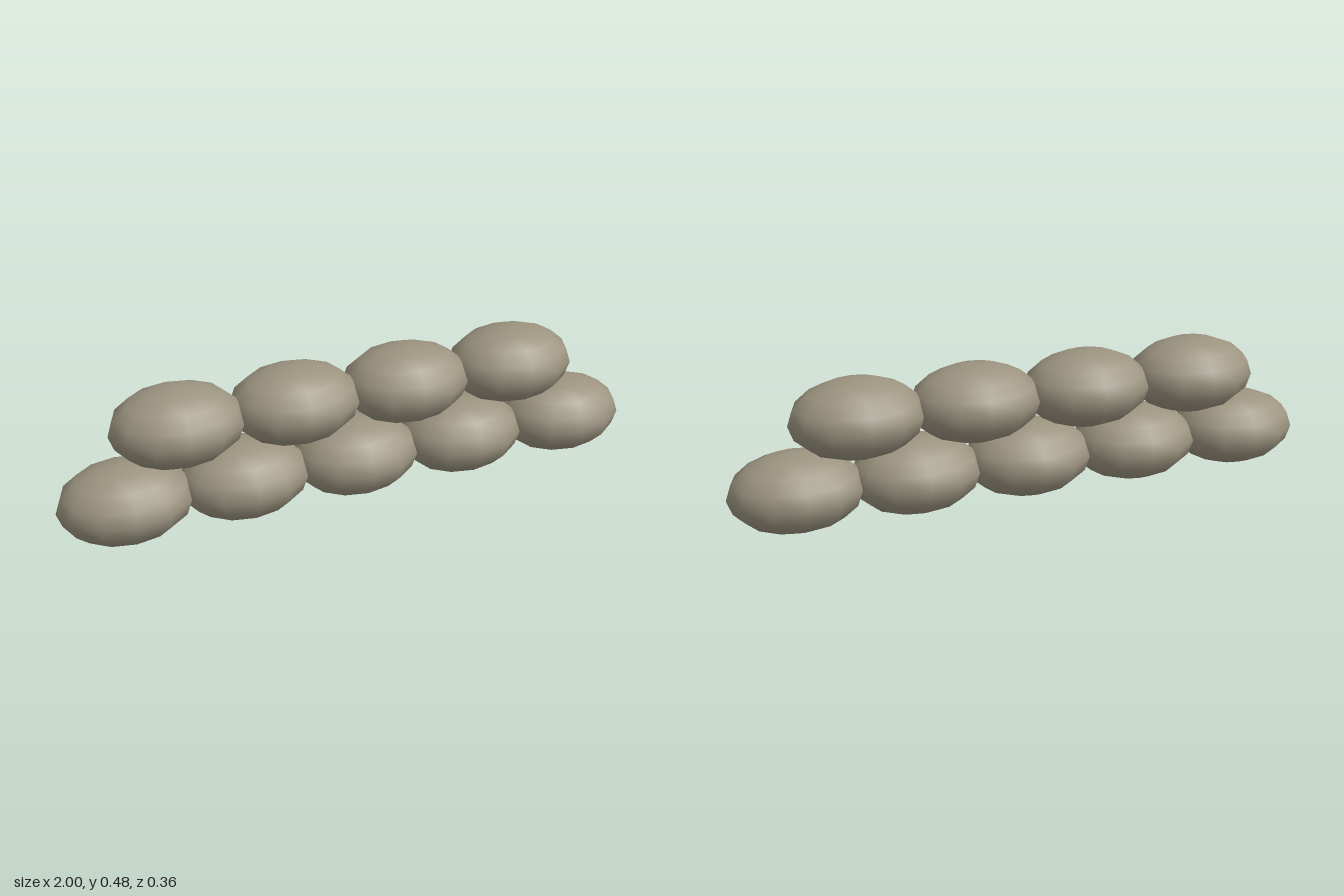
import * as THREE from 'three';

export function createModel() {
  const group = new THREE.Group();
  group.name = 'sandbagWall';
  const material = new THREE.MeshStandardMaterial({ color: 0x9c9480 });

  // One stuffed bag: a low-poly sphere stretched along the wall
  const bag = new THREE.SphereGeometry(1, 12, 8);
  bag.scale(0.22, 0.128, 0.172);

  // Lays a row of overlapping bags along x
  const addRow = (name, count, x, y, z) => {
    const row = new THREE.Group();
    row.name = name;
    row.position.set(x, y, z);
    for (let i = 0; i < count; i++) {
      const mesh = new THREE.Mesh(bag, material);
      mesh.name = 'sandbag';
      mesh.position.x = (i - (count - 1) / 2) * 0.39;
      row.add(mesh);
    }
    group.add(row);
  };

  // The upper row sits over the joints of the lower one, set slightly back
  addRow('lowerRow', 5, 0, 0.13, 0.01);
  addRow('upperRow', 4, -0.007, 0.355, -0.008);
  return group;
}
